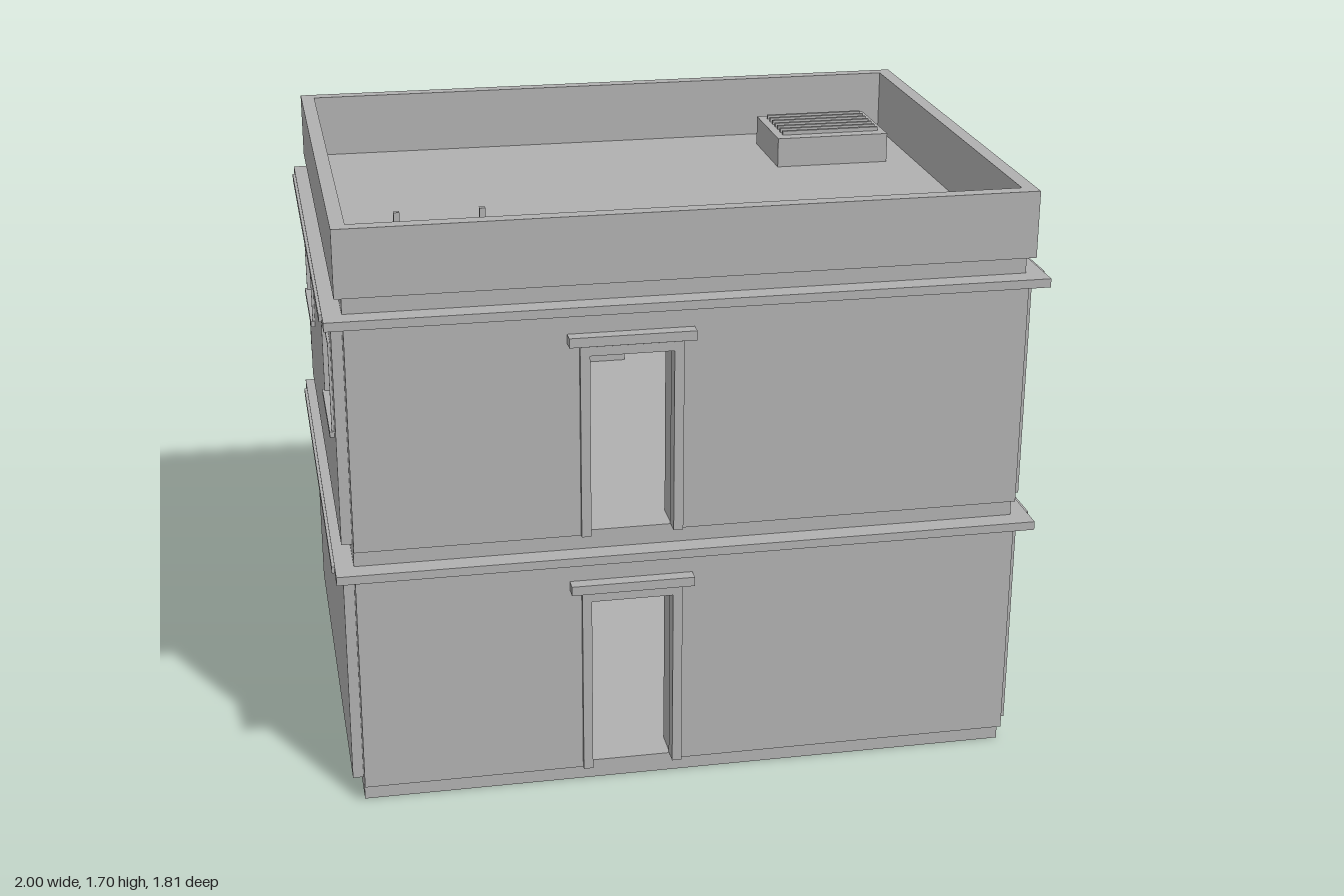
import * as THREE from 'three';

const plaster = new THREE.MeshStandardMaterial({ color: 0xb0b0b0 });
plaster.name = 'grey plaster';

// box given by its min and max on each axis
function box(parent, name, x0, x1, y0, y1, z0, z1) {
  const m = new THREE.Mesh(new THREE.BoxGeometry(x1 - x0, y1 - y0, z1 - z0), plaster);
  m.position.set((x0 + x1) / 2, (y0 + y1) / 2, (z0 + z1) / 2);
  m.name = name;
  parent.add(m);
  return m;
}

function rect(Type, x0, x1, y0, y1) {
  const p = new Type();
  p.moveTo(x0, y0);
  p.lineTo(x1, y0);
  p.lineTo(x1, y1);
  p.lineTo(x0, y1);
  p.closePath();
  return p;
}

function extrude(parent, name, shape, depth) {
  const m = new THREE.Mesh(new THREE.ExtrudeGeometry(shape, { depth, bevelEnabled: false }), plaster);
  m.name = name;
  parent.add(m);
  return m;
}

// horizontal slab, with the ladder hatch cut out if wanted
function slab(parent, name, hx, hz, y0, y1, hatch) {
  const s = rect(THREE.Shape, -hx, hx, -hz, hz);
  if (hatch) s.holes.push(rect(THREE.Path, -0.85, -0.45, -0.61, -0.19));
  const m = extrude(parent, name, s, y1 - y0);
  m.rotation.x = -Math.PI / 2;
  m.position.y = y0;
}

const H = 0.65; // wall height of one storey

// front wall with door, frame and lintel; the back is the same turned half round
function doorWall(parent, name, y) {
  const g = new THREE.Group();
  g.name = name;
  g.position.y = y;
  const s = new THREE.Shape();
  [[-0.94, 0], [-0.29, 0], [-0.29, 0.53], [-0.055, 0.53], [-0.055, 0], [0.94, 0], [0.94, H], [-0.94, H]]
    .forEach(([a, b], i) => (i ? s.lineTo(a, b) : s.moveTo(a, b)));
  extrude(g, 'wall', s, 0.125).position.z = 0.612;
  box(g, 'doorJamb', -0.315, -0.288, 0, 0.53, 0.7, 0.75);
  box(g, 'doorJamb', -0.057, -0.03, 0, 0.53, 0.7, 0.75);
  box(g, 'doorHead', -0.315, -0.03, 0.53, 0.556, 0.7, 0.75);
  box(g, 'doorLintel', -0.348, 0, 0.565, 0.592, 0.73, 0.774);
  parent.add(g);
  return g;
}

// side wall, side = 1 or -1, with two windows if wanted
function sideWall(parent, name, y, side, windows) {
  const g = new THREE.Group();
  g.name = name;
  g.position.y = y;
  const s = rect(THREE.Shape, -0.678, 0.678, 0, H);
  if (windows) {
    for (const c of [-0.456, 0.456]) {
      s.holes.push(rect(THREE.Path, c - 0.15, c + 0.15, 0.312, 0.558));
      const f = rect(THREE.Shape, c - 0.158, c + 0.158, 0.304, 0.566);
      f.holes.push(rect(THREE.Path, c - 0.15, c + 0.15, 0.312, 0.558));
      const frame = extrude(g, 'windowFrame', f, 0.016);
      frame.rotation.y = Math.PI / 2;
      frame.position.x = side > 0 ? 0.961 : -0.977;
      const sill = box(g, 'windowSill', 0.95, 0.983, 0.295, 0.312, c - 0.164, c + 0.164);
      sill.position.x *= side;
    }
  }
  const w = extrude(g, 'wall', s, 0.12);
  w.rotation.y = Math.PI / 2;
  w.position.x = side > 0 ? 0.85 : -0.97;
  parent.add(g);
}

function ladder(parent, y) {
  const g = new THREE.Group();
  g.name = 'ladder';
  g.position.y = y;
  for (const x of [-0.775, -0.545]) {
    box(g, 'ladderRail', x - 0.008, x + 0.008, 0, 0.9, 0.543, 0.558);
    for (const h of [0.12, 0.55])
      box(g, 'ladderBracket', x - 0.006, x + 0.006, h, h + 0.015, 0.555, 0.615);
  }
  for (let i = 1; i <= 9; i++)
    box(g, 'ladderRung', -0.77, -0.55, i * 0.08, i * 0.08 + 0.012, 0.545, 0.556);
  parent.add(g);
}

export function createModel() {
  const model = new THREE.Group();
  model.name = 'house';
  const house = new THREE.Group(); // body is centred on its own axis, the balcony shifts it
  house.name = 'houseBody';
  house.position.z = 0.133;
  model.add(house);

  slab(house, 'foundation', 0.94, 0.705, 0, 0.055, false);

  // two storeys
  [0.055, 0.785].forEach((y, i) => {
    const storey = new THREE.Group();
    storey.name = i ? 'upperStorey' : 'lowerStorey';
    doorWall(storey, 'frontWall', y);
    doorWall(storey, 'backWall', y).rotation.y = Math.PI;
    sideWall(storey, 'leftWall', y, 1, true);
    sideWall(storey, 'rightWall', y, -1, i === 1);
    ladder(storey, y);
    // cornice with a slightly prouder lip on each side
    slab(storey, 'cornice', 0.992, 0.766, y + H, y + H + 0.025, true);
    for (const s of [-1, 1])
      box(storey, 'corniceLip', s * 0.985 - 0.015, s * 0.985 + 0.015, y + H + 0.003, y + H + 0.022, -0.69, 0.69);
    slab(storey, i ? 'roofSlab' : 'floorSlab', 0.94, 0.705, y + H + 0.025, y + H + 0.08, true);
    house.add(storey);
  });

  // roof parapet
  const ring = rect(THREE.Shape, -0.96, 0.96, -0.728, 0.728);
  ring.holes.push(rect(THREE.Path, -0.92, 0.92, -0.687, 0.687));
  const parapet = extrude(house, 'parapet', ring, 0.19);
  parapet.rotation.x = -Math.PI / 2;
  parapet.position.y = 1.51;

  // roof vent with slats
  const vent = new THREE.Group();
  vent.name = 'roofVent';
  box(vent, 'ventBox', 0.48, 0.83, 1.51, 1.605, -0.565, -0.283);
  for (let i = 0; i < 7; i++) {
    const z = -0.53 + i * 0.0335;
    box(vent, 'ventSlat', 0.505, 0.81, 1.6, 1.617, z - 0.006, z + 0.006);
  }
  house.add(vent);

  // balcony: half solid, half open railing
  const balcony = new THREE.Group();
  balcony.name = 'balcony';
  box(balcony, 'balconyFloor', -0.957, 0.957, 0.737, 0.787, -0.907, -0.57);
  box(balcony, 'balconySolidFront', 0, 0.957, 0.787, 0.98, -0.907, -0.877);
  for (const s of [-1, 1])
    box(balcony, 'balconySide', s * 0.942 - 0.015, s * 0.942 + 0.015, 0.787, 0.98, -0.907, -0.595);
  box(balcony, 'railingTop', -0.957, 0, 0.962, 0.98, -0.907, -0.89);
  box(balcony, 'railingBottom', -0.957, 0, 0.787, 0.8, -0.907, -0.89);
  for (let i = 0; i <= 6; i++) {
    const x = -0.015 - i * 0.152;
    box(balcony, 'railingPost', x - 0.008, x + 0.008, 0.79, 0.97, -0.906, -0.891);
  }
  model.add(balcony);
  return model;
}
